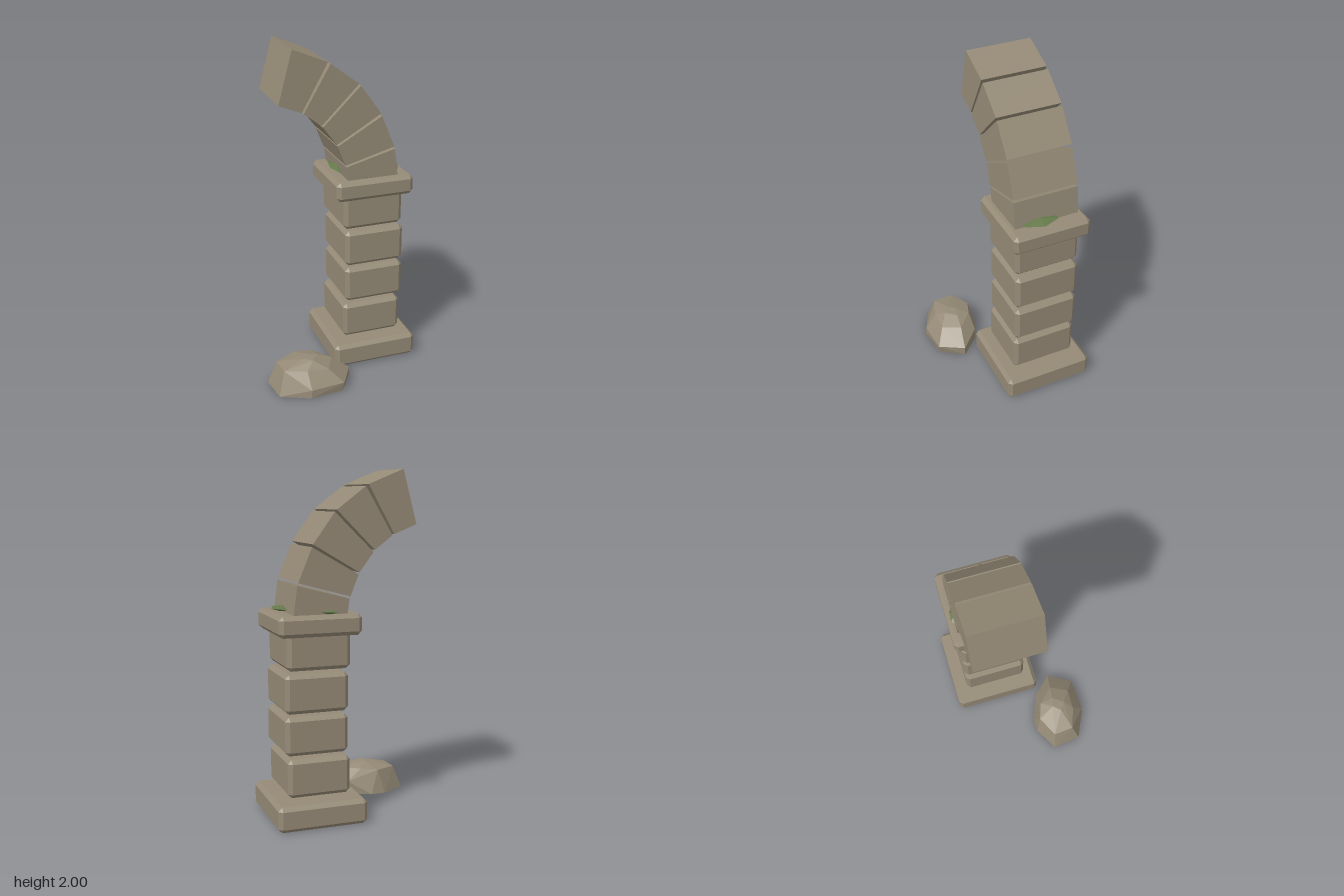
import * as THREE from 'three';
import { ConvexGeometry } from 'three/addons/geometries/ConvexGeometry.js';

const stone = new THREE.MeshStandardMaterial({ name: 'stone', color: 0x958a76 });
const moss = new THREE.MeshStandardMaterial({ name: 'moss', color: 0x64794a });

const hull = (points) => new ConvexGeometry(points.map((p) => new THREE.Vector3(...p)));

function add(group, name, geometry, material) {
  const mesh = new THREE.Mesh(geometry, material);
  mesh.name = name;
  group.add(mesh);
  return mesh;
}

// Box with every edge and corner cut by the bevel b
function chamferedBox([x0, x1], [y0, y1], [z0, z1], b = 0.023) {
  const w = (x1 - x0) / 2, h = (y1 - y0) / 2, d = (z1 - z0) / 2;
  const points = [];
  for (const sx of [-1, 1]) for (const sy of [-1, 1]) for (const sz of [-1, 1]) {
    points.push([sx * w, sy * (h - b), sz * (d - b)]);
    points.push([sx * (w - b), sy * h, sz * (d - b)]);
    points.push([sx * (w - b), sy * (h - b), sz * d]);
  }
  return hull(points).translate((x0 + x1) / 2, (y0 + y1) / 2, (z0 + z1) / 2);
}

export function createModel() {
  const model = new THREE.Group();
  model.name = 'ruinedArch';

  // Pillar: plinth, four separate blocks, cap
  const pillar = new THREE.Group();
  pillar.name = 'pillar';
  model.add(pillar);
  add(pillar, 'plinth', chamferedBox([-0.045, 0.483], [0, 0.148], [-0.402, 0.148]), stone);
  const blocks = [
    [0.033, 0.403, 0.168, 0.39],
    [0.046, 0.416, 0.412, 0.635],
    [0.045, 0.415, 0.652, 0.876],
    [0.033, 0.403, 0.895, 1.115],
  ];
  blocks.forEach(([x0, x1, y0, y1], i) => {
    add(pillar, `pillarBlock${i + 1}`, chamferedBox([x0, x1], [y0, y1], [-0.322, 0.076]), stone);
  });
  add(pillar, 'cap', chamferedBox([-0.022, 0.459], [1.088, 1.208], [-0.364, 0.112]), stone);

  // Broken arch: wedge stones given as inner/outer corners, bottom then top
  const arch = new THREE.Group();
  arch.name = 'arch';
  model.add(arch);
  const wedges = [
    [[0.057, 1.2], [0.369, 1.2], [0.347, 1.371], [0.045, 1.291]],
    [[0.04, 1.302], [0.342, 1.385], [0.262, 1.578], [-0.008, 1.423]],
    [[-0.013, 1.434], [0.256, 1.593], [0.13, 1.767], [-0.097, 1.545]],
    [[-0.104, 1.556], [0.119, 1.778], [-0.05, 1.906], [-0.209, 1.635]],
    [[-0.22, 1.642], [-0.066, 1.916], [-0.272, 2.0], [-0.354, 1.695]],
  ];
  wedges.forEach((corners, i) => {
    const shape = new THREE.Shape(corners.map(([x, y]) => new THREE.Vector2(x, y)));
    const geometry = new THREE.ExtrudeGeometry(shape, { depth: 0.395, bevelEnabled: false });
    add(arch, `archStone${i + 1}`, geometry.translate(0, 0, -0.325), stone);
  });

  // Moss tufts around the foot of the arch: centre and half sizes
  const tufts = [
    [0.365, 1.222, -0.085, 0.065, 0.02, 0.13],
    [0.055, 1.225, -0.13, 0.042, 0.022, 0.12],
    [0.16, 1.218, -0.315, 0.065, 0.018, 0.03],
    [0.175, 1.212, 0.055, 0.05, 0.01, 0.021],
  ];
  const mossGroup = new THREE.Group();
  mossGroup.name = 'moss';
  model.add(mossGroup);
  tufts.forEach(([x, y, z, sx, sy, sz], i) => {
    // Low-poly lens: two apexes and an uneven rim
    const points = [[x, y + sy, z], [x, y - sy, z]];
    for (let k = 0; k < 6; k++) {
      const a = (k * Math.PI) / 3;
      const r = k % 2 ? 0.9 : 1;
      points.push([x + sx * r * Math.cos(a), y + sy * 0.1 * (k % 3), z + sz * r * Math.sin(a)]);
    }
    add(mossGroup, `mossTuft${i + 1}`, hull(points), moss);
  });

  // Fallen boulder: ground ring, shoulder ring and top
  add(model, 'boulder', hull([
    [-0.485, 0, 0.145], [-0.462, 0, 0.32], [-0.29, 0, 0.4], [-0.09, 0, 0.382],
    [0.003, 0, 0.24], [-0.11, 0, 0.12], [-0.25, 0, 0.06], [-0.34, 0, 0.062],
    [-0.08, 0.055, 0.387], [0.005, 0.057, 0.24], [-0.285, 0.05, 0.397], [-0.11, 0.08, 0.12],
    [-0.43, 0.14, 0.155], [-0.42, 0.142, 0.28], [-0.3, 0.145, 0.09], [-0.29, 0.142, 0.327],
    [-0.16, 0.135, 0.33], [-0.105, 0.14, 0.22], [-0.2, 0.155, 0.125],
    [-0.29, 0.178, 0.24], [-0.24, 0.176, 0.275], [-0.19, 0.172, 0.21], [-0.25, 0.178, 0.195],
  ]), stone);

  return model;
}
